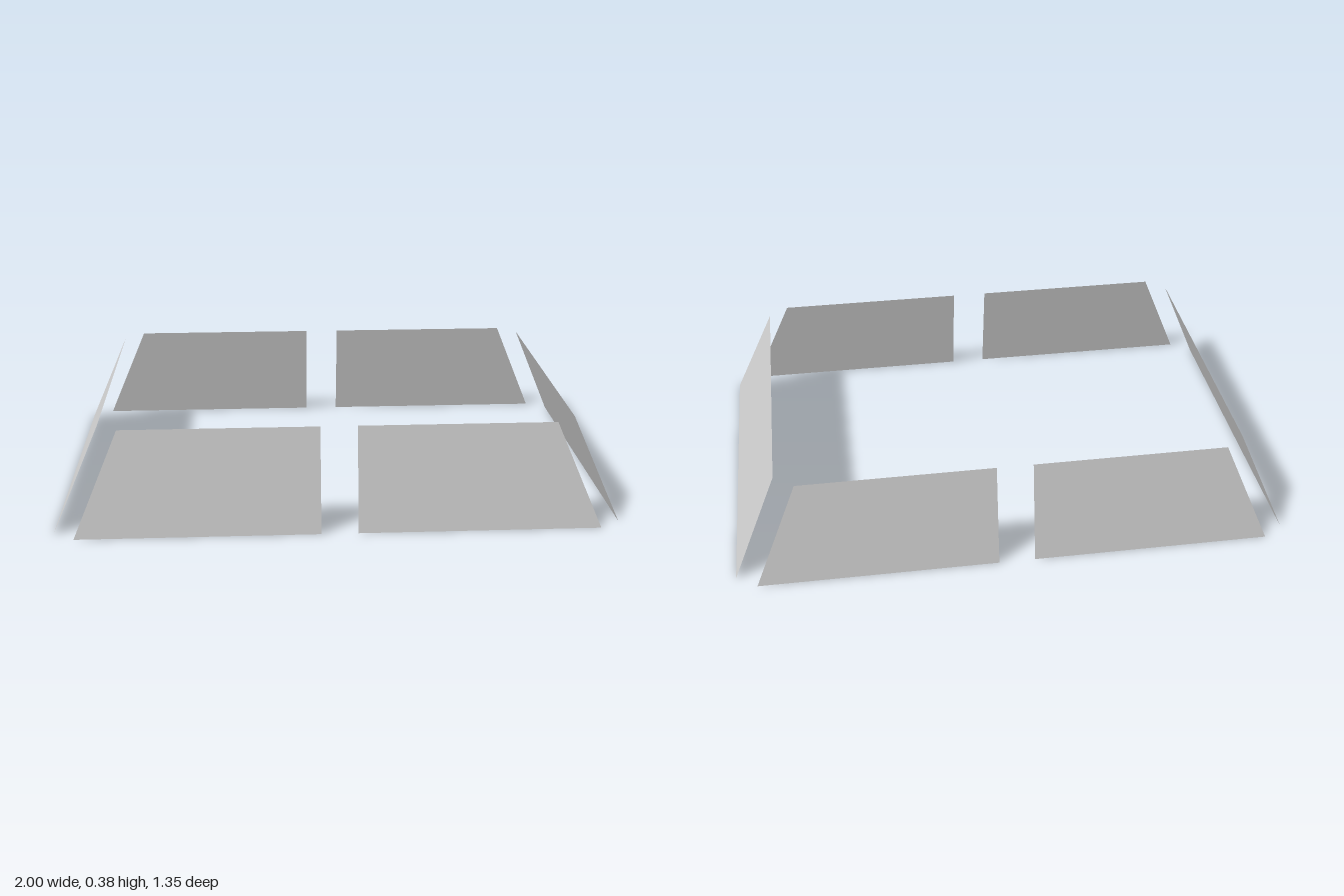
import * as THREE from 'three';

const HEIGHT = 0.375;
const material = new THREE.MeshStandardMaterial({ color: 0xcccccc, flatShading: true, side: THREE.DoubleSide });

// Thin leaning panel: [start, end] along its bottom and top edges, and how far out each edge lies
function panel(name, bottom, top, outBottom, outTop, turn) {
  const geometry = new THREE.PlaneGeometry(1, 1);
  const corners = [
    [top[0], HEIGHT, outTop], [top[1], HEIGHT, outTop],
    [bottom[0], 0, outBottom], [bottom[1], 0, outBottom],
  ];
  corners.forEach((c, i) => geometry.attributes.position.setXYZ(i, ...c));
  geometry.computeVertexNormals();
  const mesh = new THREE.Mesh(geometry, material);
  mesh.name = name;
  mesh.rotation.y = turn;
  return mesh;
}

export function createModel() {
  const group = new THREE.Group();
  group.name = 'slopedPanelRing';

  // Front and back: a pair of panels each, with a gap in the middle
  for (const [end, turn] of [['front', 0], ['back', Math.PI]]) {
    group.add(panel(end + 'PanelA', [0.065, 0.925], [0.065, 0.765], 0.676, 0.606, turn));
    group.add(panel(end + 'PanelB', [-0.925, -0.065], [-0.765, -0.065], 0.676, 0.606, turn));
  }

  // Sides: one long panel each
  for (const [side, turn] of [['left', Math.PI / 2], ['right', -Math.PI / 2]]) {
    group.add(panel(side + 'SidePanel', [-0.622, 0.622], [-0.549, 0.549], 1, 0.836, turn));
  }
  return group;
}
